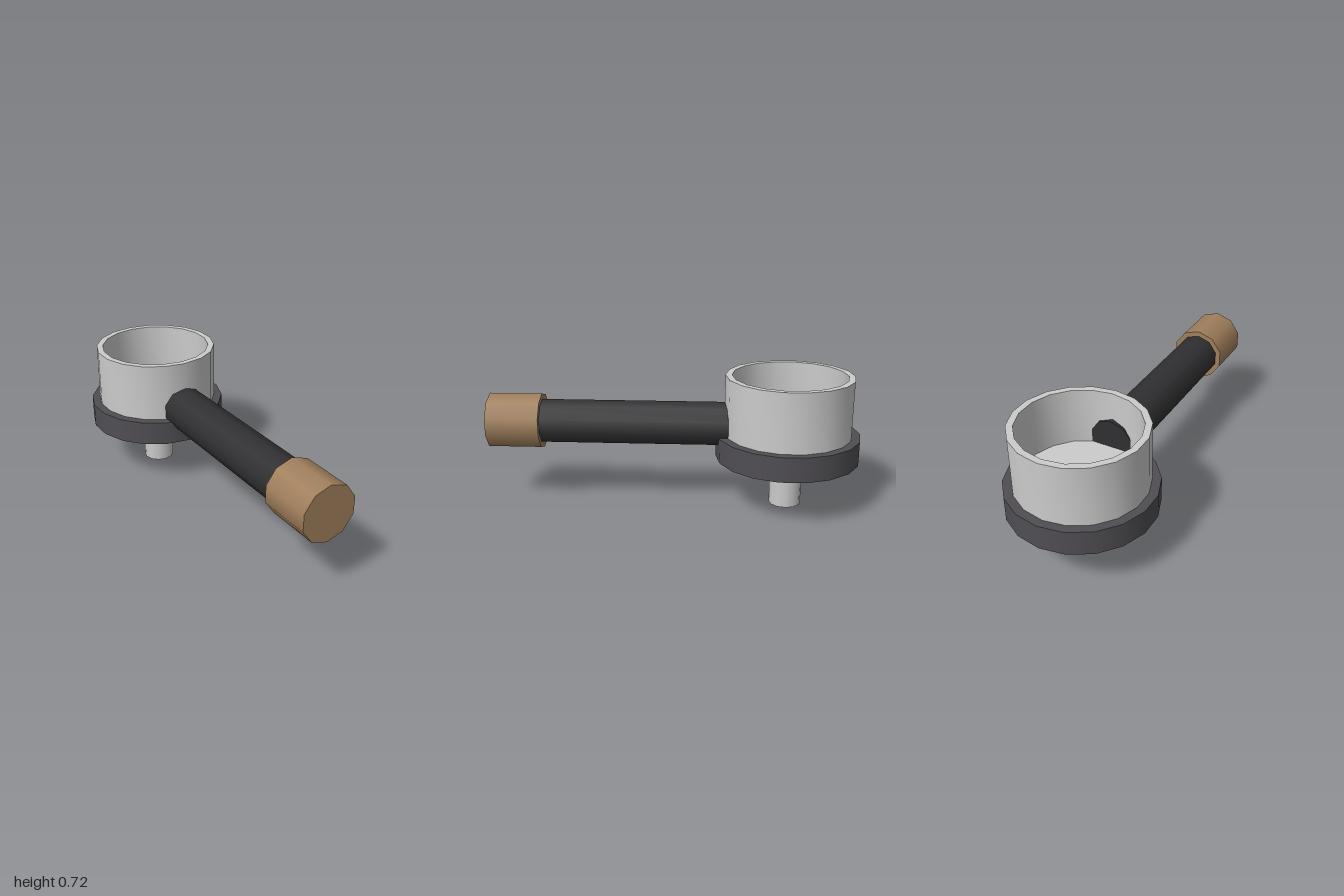
import * as THREE from 'three';
import { toCreasedNormals } from 'three/addons/utils/BufferGeometryUtils.js';

const STEEL = 0xcccccc, COLLAR = 0x504e53, RUBBER = 0x303032, WOOD = 0xa07f5c;
const HEAD_Z = -0.613, HANDLE_Y = 0.448;

function part(name, geometry, color) {
  const mesh = new THREE.Mesh(geometry, new THREE.MeshStandardMaterial({ color }));
  mesh.name = name;
  return mesh;
}

// Upright cylinder on the axis of the head, between two heights
function upright(name, radius, y0, y1, sides, color) {
  const mesh = part(name, new THREE.CylinderGeometry(radius, radius, y1 - y0, sides), color);
  mesh.position.set(0, (y0 + y1) / 2, HEAD_Z);
  return mesh;
}

// Ten-sided bar along z, at handle height
function bar(name, radius, z0, z1, color) {
  const mesh = part(name, new THREE.CylinderGeometry(radius, radius, z1 - z0, 10), color);
  mesh.rotation.x = Math.PI / 2;
  mesh.position.set(0, HANDLE_Y, (z0 + z1) / 2);
  return mesh;
}

export function createModel() {
  const group = new THREE.Group();
  group.name = 'portafilter';

  // Open basket with a thick wall and a floor
  const profile = [[0, 0.39], [0.341, 0.39], [0.341, 0.72], [0.306, 0.72], [0.306, 0.415], [0, 0.415]]
    .map(([r, y]) => new THREE.Vector2(r, y));
  const basket = part('basket', toCreasedNormals(new THREE.LatheGeometry(profile, 18), 0.7), STEEL);
  basket.position.z = HEAD_Z;
  group.add(basket);

  // Collar and the spout below it
  group.add(upright('collar', 0.387, 0.267, 0.4, 18, COLLAR));
  group.add(upright('spout', 0.087, 0, 0.28, 12, STEEL));

  // Handle, its inner end poking through the basket wall, and the end grip
  group.add(bar('handle', 0.1215, -0.33, 0.73, RUBBER));
  group.add(bar('handleGrip', 0.1515, 0.715, 1, WOOD));

  return group;
}
